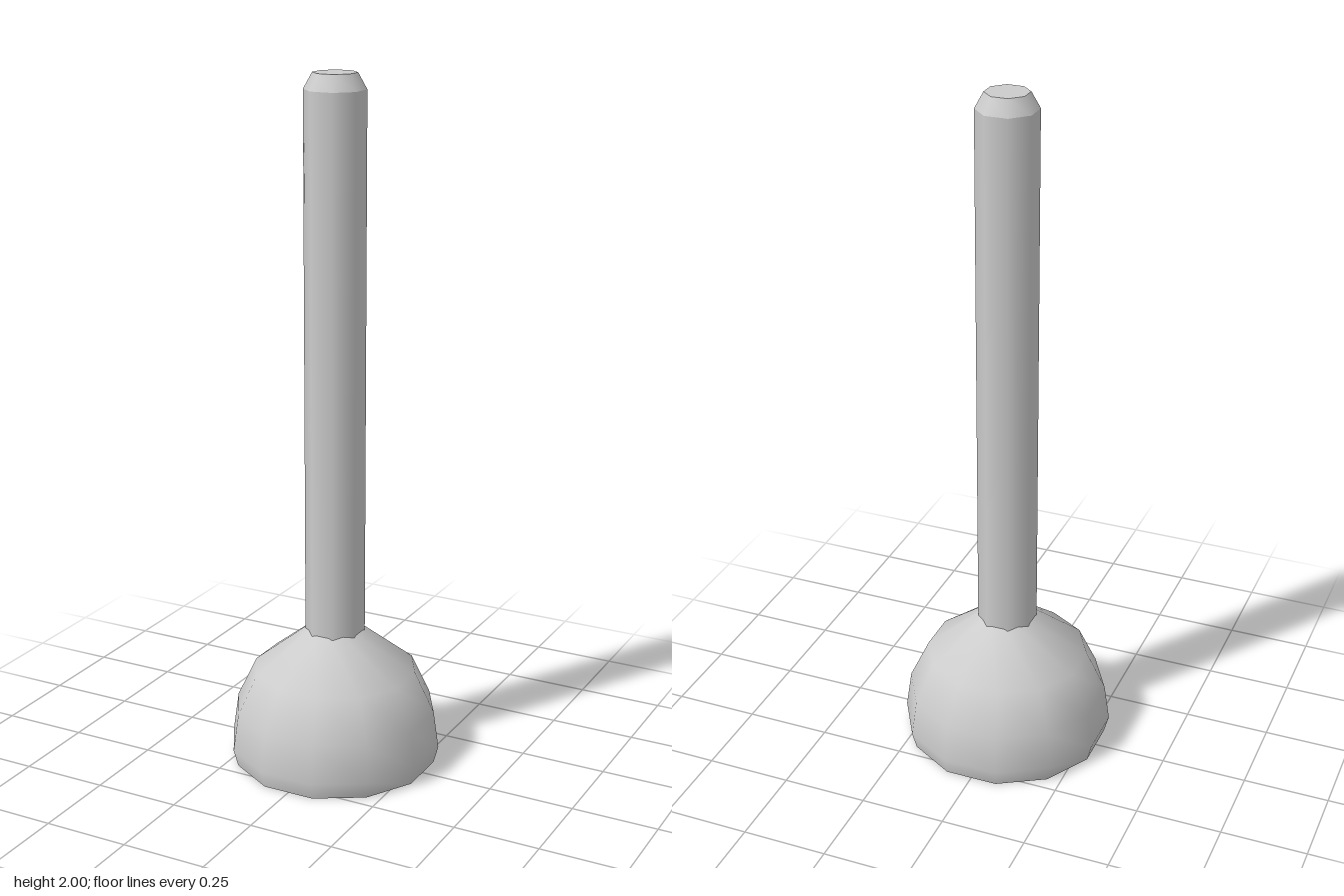
import * as THREE from 'three';

// Turns a profile of [flat radius, height] points into a faceted ring with flats on the x and z axes
function turned(name, profile, sides, material) {
  const toCorner = 1 / Math.cos(Math.PI / sides);
  const points = profile.map(([r, y]) => new THREE.Vector2(r * toCorner, y));
  const mesh = new THREE.Mesh(new THREE.LatheGeometry(points, sides, Math.PI / sides), material);
  mesh.name = name;
  return mesh;
}

export function createModel() {
  const group = new THREE.Group();
  group.name = 'plunger';
  const grey = new THREE.MeshStandardMaterial({ color: 0xcccccc });
  grey.name = 'grey';

  // Suction cup: domed outside, running on a little way inside the handle
  const cup = new THREE.Group();
  cup.name = 'cup';
  cup.add(
    turned('cupOutside', [[0.287, 0], [0.3, 0.05], [0.285, 0.16], [0.23, 0.28], [0.08, 0.4], [0.05, 0.424]], 12, grey),
    // Hollow underside
    turned('cupHollow', [[0, 0.16], [0.287, 0]], 12, grey),
  );

  // Handle: eight-sided shaft with a bevelled end
  const handle = new THREE.Group();
  handle.name = 'handle';
  handle.add(
    turned('shaft', [[0.08, 0.34], [0.08, 1.955]], 8, grey),
    turned('handleBevel', [[0.08, 1.955], [0.057, 2]], 8, grey),
    turned('handleEnd', [[0.057, 2], [0, 2]], 8, grey),
  );

  group.add(cup, handle);
  return group;
}
